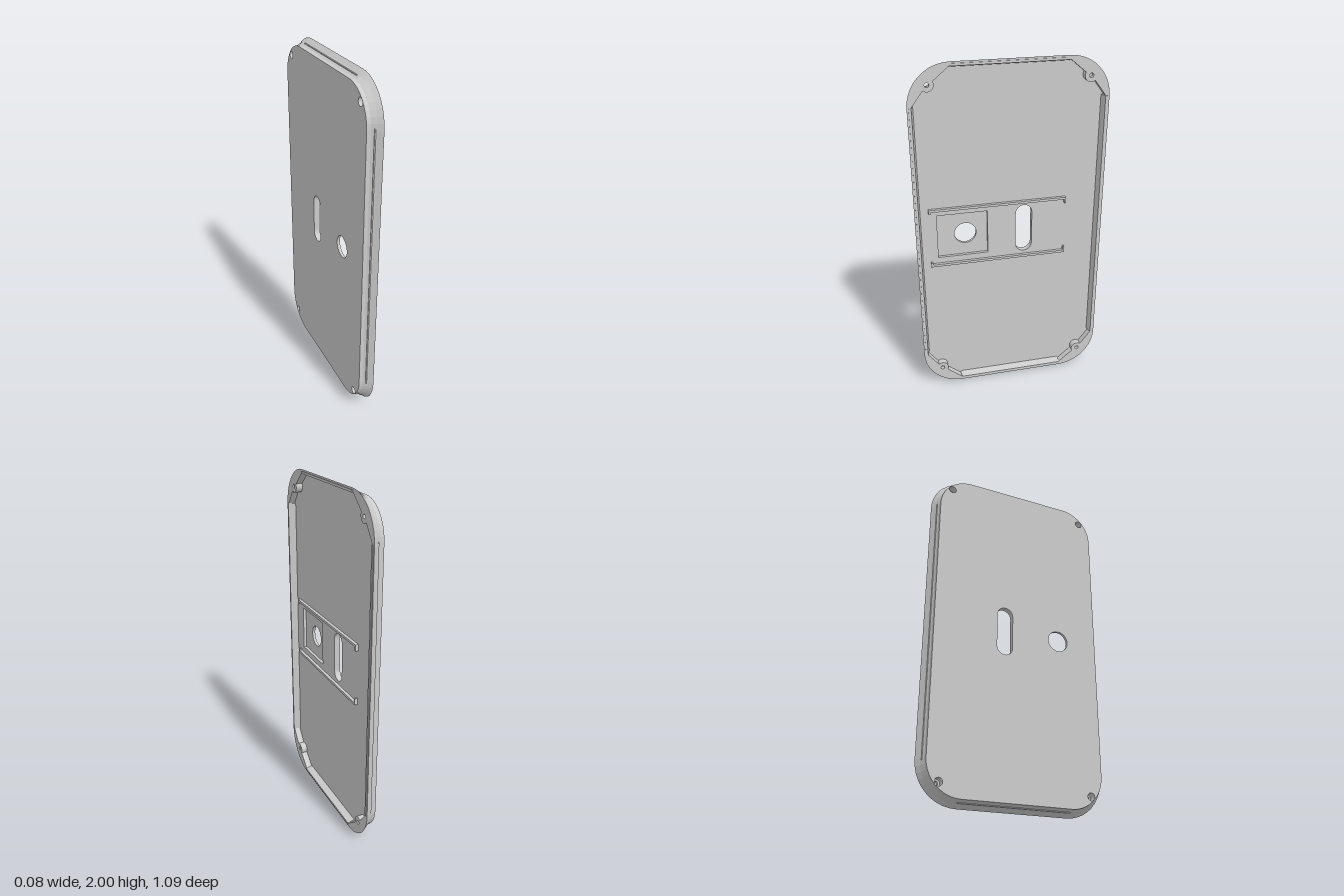
import * as THREE from 'three';

// Drawn in a plane: u across, v up (from the centre), depth w towards the open side.
const V = (u, v) => new THREE.Vector2(u, v);
const QUADS = [[1, 1], [-1, 1], [-1, -1], [1, -1]];
const BACK = -0.04, POCKET = -0.023, FLOOR = -0.005, STEP = 0.008, RIM = 0.033, LIP = 0.037;

function arc(cu, cv, r, a0, a1, n) {
  return Array.from({ length: n + 1 }, (_, i) => {
    const a = THREE.MathUtils.degToRad(a0 + (a1 - a0) * i / n);
    return V(cu + r * Math.cos(a), cv + r * Math.sin(a));
  });
}
const circle = (cu, cv, r, n = 28) => arc(cu, cv, r, 0, 360, n).slice(0, n);
const rect = (u0, v0, u1, v1) => [V(u0, v0), V(u1, v0), V(u1, v1), V(u0, v1)];

// Repeats a first-quadrant run of points in all four quadrants, anticlockwise
function fourWay(points) {
  return QUADS.flatMap(([su, sv]) => {
    const q = points.map(p => V(p.x * su, p.y * sv));
    return su * sv > 0 ? q : q.reverse();
  });
}
const outline = inset => fourWay(arc(0.315, 0.77, 0.23 - inset, 0, 90, 10));

export function createModel() {
  const group = new THREE.Group();
  const panel = new THREE.Group();
  panel.name = 'coverPanel';
  panel.rotation.y = Math.PI / 2;
  panel.position.y = 1;
  group.add(panel);
  const mat = new THREE.MeshStandardMaterial({ color: 0xcccccc, flatShading: true, side: THREE.DoubleSide });

  const add = (name, geo) => {
    const m = new THREE.Mesh(geo, mat);
    m.name = name;
    panel.add(m);
    return m;
  };
  const makeShape = (pts, holes = []) => {
    const s = new THREE.Shape(pts);
    s.holes = holes.map(h => new THREE.Path(h));
    return s;
  };
  // Flat face at depth w, facing the open side or the back
  const face = (name, w, pts, holes, back = false) => {
    const g = new THREE.ShapeGeometry(makeShape(pts, holes));
    if (back) {
      const ix = g.index.array;
      for (let i = 0; i < ix.length; i += 3) [ix[i], ix[i + 1]] = [ix[i + 1], ix[i]];
      g.computeVertexNormals();
    }
    return add(name, g.translate(0, 0, w));
  };
  // Wall between two matching loops; inward walls line holes and recesses
  const wall = (name, a, wa, b, wb, inward = false) => {
    const pos = [];
    a.forEach((_, i) => {
      const j = (i + 1) % a.length;
      const A = [a[i].x, a[i].y, wa], B = [a[j].x, a[j].y, wa];
      const C = [b[j].x, b[j].y, wb], D = [b[i].x, b[i].y, wb];
      pos.push(...(inward ? [A, C, B, A, D, C] : [A, B, C, A, C, D]).flat());
    });
    const g = new THREE.BufferGeometry();
    g.setAttribute('position', new THREE.Float32BufferAttribute(pos, 3));
    g.computeVertexNormals();
    return add(name, g);
  };
  const block = (name, pts, w0, w1) =>
    add(name, new THREE.ExtrudeGeometry(makeShape(pts), { depth: w1 - w0, bevelEnabled: false }).translate(0, 0, w0));

  // Loops for the recess, openings and screw holes
  const recess = fourWay([V(0.522, 0.775), ...arc(0.437, 0.887, 0.036, -52, -210, 12), V(0.32, 0.977)]);
  const pocket = rect(-0.42, -0.125, -0.13, 0.14);
  const hole = circle(-0.257, 0.007, 0.063, 32);
  const slot = [...arc(0.084, 0.106, 0.048, 0, 180, 12), ...arc(0.084, -0.092, 0.048, 180, 360, 12)];
  const screws = QUADS.map(([su, sv]) => circle(su * 0.437, sv * 0.887, 0.012, 16));
  const bores = QUADS.map(([su, sv]) => circle(su * 0.437, sv * 0.887, 0.022, 16));

  // Flared outer side
  const flare = [[BACK, 0.037], [-0.018, 0.035], [0.008, 0.019], [RIM, 0]];
  for (let i = 0; i < 3; i++) {
    wall('outerSide', outline(flare[i][1]), flare[i][0], outline(flare[i + 1][1]), flare[i + 1][0]);
  }

  // Back, floor, pocket and rim
  face('backFace', BACK, outline(0.037), [hole, slot, ...bores], true);
  face('floor', FLOOR, recess, [pocket, slot]);
  face('pocketFloor', POCKET, pocket, [hole]);
  face('rim', RIM, outline(0), [recess, ...screws]);
  wall('recessWall', recess, FLOOR, recess, RIM, true);
  wall('pocketWall', pocket, POCKET, pocket, FLOOR, true);
  wall('roundOpening', hole, BACK, hole, POCKET, true);
  wall('slotOpening', slot, BACK, slot, FLOOR, true);

  // Counterbored screw holes
  screws.forEach((s, i) => {
    wall('counterbore', bores[i], BACK, bores[i], STEP, true);
    face('counterboreStep', STEP, bores[i], [s], true);
    wall('screwHole', s, STEP, s, RIM, true);
  });

  // Raised lips along the four edges, with a sloped inner face
  const lip = (name, edge, half, angle) => {
    const profile = [V(edge, FLOOR), V(edge, RIM), V(edge + 0.013, RIM), V(edge + 0.013, LIP), V(edge, LIP), V(edge - 0.012, FLOOR)];
    const g = new THREE.ExtrudeGeometry(makeShape(profile), { depth: half * 2, bevelEnabled: false });
    g.translate(0, 0, -half).rotateX(Math.PI / 2); // length along v, height along w
    add(name, g.rotateZ(angle));
  };
  for (const k of [0, 1]) {
    lip('sideLip', 0.522, 0.772, k * Math.PI);
    lip('endLip', 0.977, 0.317, Math.PI / 2 + k * Math.PI);
  }

  // Two guide rails with hooked ends
  for (const s of [1, -1]) {
    const rail = [[-0.465, 0.18], [0.33, 0.18], [0.33, 0.142], [0.322, 0.142], [0.322, 0.166],
      [-0.455, 0.166], [-0.455, 0.155], [-0.465, 0.155]].map(([u, v]) => V(u, s * v + 0.005));
    block('guideRail', rail, FLOOR, 0.013);
  }
  return group;
}
